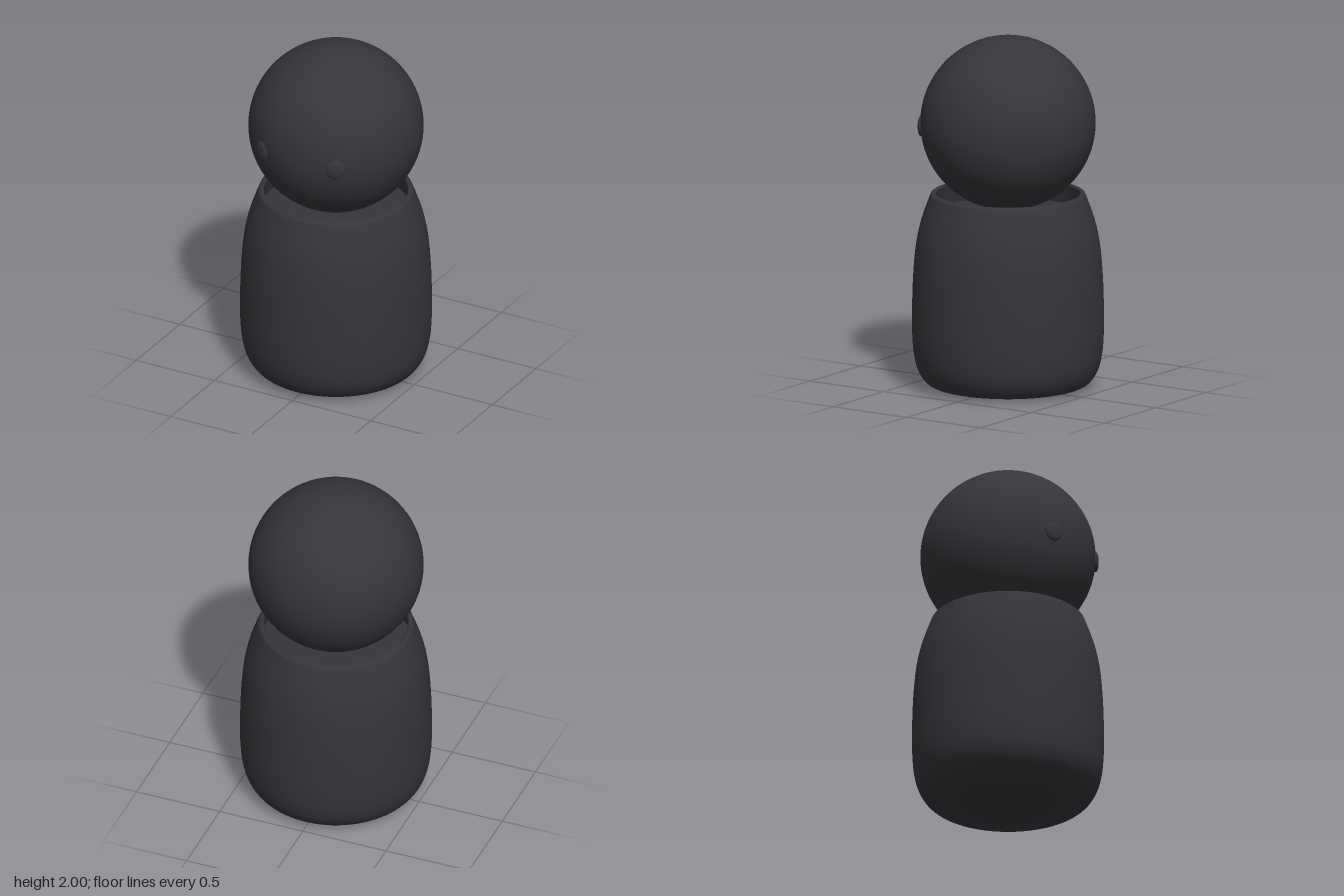
import * as THREE from 'three';
import { toCreasedNormals } from 'three/addons/utils/BufferGeometryUtils.js';

const v = (x, y) => new THREE.Vector2(x, y);

export function createModel() {
  const model = new THREE.Group();
  const charcoal = new THREE.MeshStandardMaterial({ color: 0x35353a });
  charcoal.name = 'charcoal';

  const add = (name, geometry, x, y, z) => {
    const mesh = new THREE.Mesh(geometry, charcoal);
    mesh.name = name;
    mesh.position.set(x, y, z);
    model.add(mesh);
    return mesh;
  };

  // Cup-shaped body: rounded base, tapering wall, thin rim and recessed seat
  const wall = new THREE.SplineCurve([
    v(0.38, 0.01), v(0.45, 0.03), v(0.5, 0.095), v(0.526, 0.19), v(0.536, 0.32),
    v(0.536, 0.46), v(0.53, 0.64), v(0.515, 0.81), v(0.486, 0.95), v(0.437, 1.09),
  ]).getPoints(36);
  const profile = [
    v(0, 0), v(0.22, 0.002), ...wall,
    v(0.432, 1.103), v(0.422, 1.11), v(0.408, 1.11), v(0.402, 1.103),
    v(0.42, 0.99), v(0, 0.99),
  ];
  add('body', toCreasedNormals(new THREE.LatheGeometry(profile, 96), 0.7), 0, 0, 0);

  // Round head resting in the recess
  add('head', new THREE.SphereGeometry(0.49, 96, 64), 0, 1.51, 0);

  // Oval eyes, half sunk into the head and turned with its surface
  for (const side of [-1, 1]) {
    const eye = add(side > 0 ? 'leftEye' : 'rightEye',
      new THREE.SphereGeometry(1, 32, 24), side * 0.235, 1.48, 0.429);
    eye.scale.set(0.053, 0.058, 0.018);
    eye.rotation.y = side * 0.5;
  }
  return model;
}
